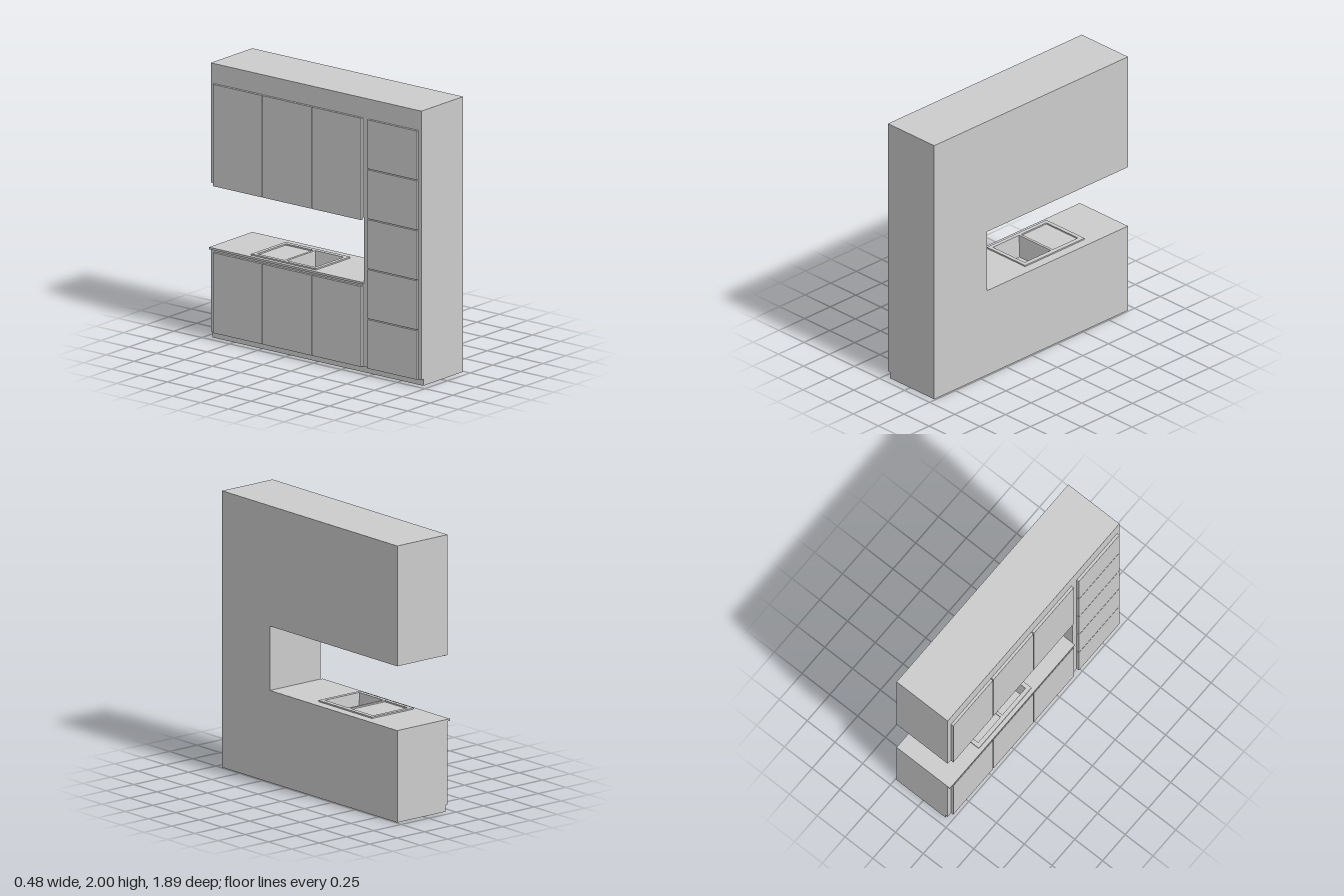
import * as THREE from 'three';

const grey = new THREE.MeshStandardMaterial({ color: 0xcccccc });
const thin = new THREE.MeshStandardMaterial({ color: 0xcccccc, side: THREE.DoubleSide });

export function createModel() {
  const model = new THREE.Group();

  function add(name, geometry, material = grey) {
    const mesh = new THREE.Mesh(geometry, material);
    mesh.name = name;
    model.add(mesh);
    return mesh;
  }

  // Box from its limits on each axis
  function box(name, [x0, x1], [y0, y1], [z0, z1]) {
    const g = new THREE.BoxGeometry(x1 - x0, y1 - y0, z1 - z0);
    g.translate((x0 + x1) / 2, (y0 + y1) / 2, (z0 + z1) / 2);
    return add(name, g);
  }

  // Horizontal slab with rectangular openings, each [x0, x1, z0, z1]
  function slab(name, outer, holes, bottom, top) {
    const corners = ([x0, x1, z0, z1]) =>
      [[x0, z0], [x1, z0], [x1, z1], [x0, z1]].map(p => new THREE.Vector2(...p));
    const shape = new THREE.Shape(corners(outer));
    for (const h of holes) shape.holes.push(new THREE.Path(corners(h)));
    const g = new THREE.ExtrudeGeometry(shape, { depth: top - bottom, bevelEnabled: false });
    g.rotateX(Math.PI / 2).translate(0, top, 0);
    return add(name, g);
  }

  const back = 0.24, face = -0.22, doorFace = -0.24, kick = -0.2;
  const end = 0.945, inner = 0.43, kickTop = 0.048;
  const counterBottom = 0.65, counterTop = 0.665;

  // Tall cabinet, wall cabinet and recessed plinth
  box('tallCabinet', [face, back], [kickTop, 2], [inner, end]);
  box('wallCabinet', [face, back], [1.13, 2], [-end, inner]);
  box('plinth', [kick, back], [0, kickTop], [-end, end]);

  // Base cabinet in panels, open above for the basin
  const baseY = [kickTop, counterBottom];
  box('baseFrontPanel', [face, face + 0.015], baseY, [-end, inner]);
  box('baseBackPanel', [back - 0.015, back], baseY, [-end, inner]);
  box('baseEndPanel', [face + 0.015, back - 0.015], baseY, [-end, -end + 0.015]);
  box('baseFloor', [face, back], [kickTop, kickTop + 0.01], [-end, inner]);

  // Worktop and sink rim share the basin opening
  const basin = [-0.18, 0.135, -0.295, -0.04];
  const tray = [-0.18, 0.135, -0.56, -0.315];
  slab('worktop', [doorFace, back, -end, inner], [basin], counterBottom, counterTop);
  slab('sinkRim', [-0.21, 0.17, -0.59, -0.01], [basin, tray], counterTop, 0.675);

  // Basin: open box narrowing towards its floor
  const depth = 0.16;
  const [bx0, bx1, bz0, bz1] = basin;
  const basinGeo = new THREE.BoxGeometry(bx1 - bx0, depth, bz1 - bz0);
  const index = Array.from(basinGeo.index.array);
  index.splice(12, 6); // remove the top face
  basinGeo.setIndex(index);
  basinGeo.clearGroups();
  const pos = basinGeo.attributes.position;
  for (let i = 0; i < pos.count; i++) {
    if (pos.getY(i) < 0) pos.setXYZ(i, pos.getX(i) * 0.9, pos.getY(i), pos.getZ(i) * 0.9);
  }
  basinGeo.computeVertexNormals();
  add('sinkBasin', basinGeo, thin)
    .position.set((bx0 + bx1) / 2, 0.674 - depth / 2, (bz0 + bz1) / 2);

  // Three columns of wall and base doors
  const doorX = [doorFace, face], gap = 0.007;
  const first = -0.908, pitch = 0.4445;
  for (let i = 0; i < 3; i++) {
    const z = [first + i * pitch, first + (i + 1) * pitch - gap];
    box('wallDoor', doorX, [1.115, 1.855], z);
    box('baseDoor', doorX, [kickTop, 0.632], z);
  }

  // Stack of five fronts on the tall cabinet
  const step = (1.855 - kickTop + gap) / 5;
  for (let i = 0; i < 5; i++) {
    const y = kickTop + i * step;
    box('tallDoor', doorX, [y, y + step - gap], [0.475, 0.92]);
  }

  return model;
}
